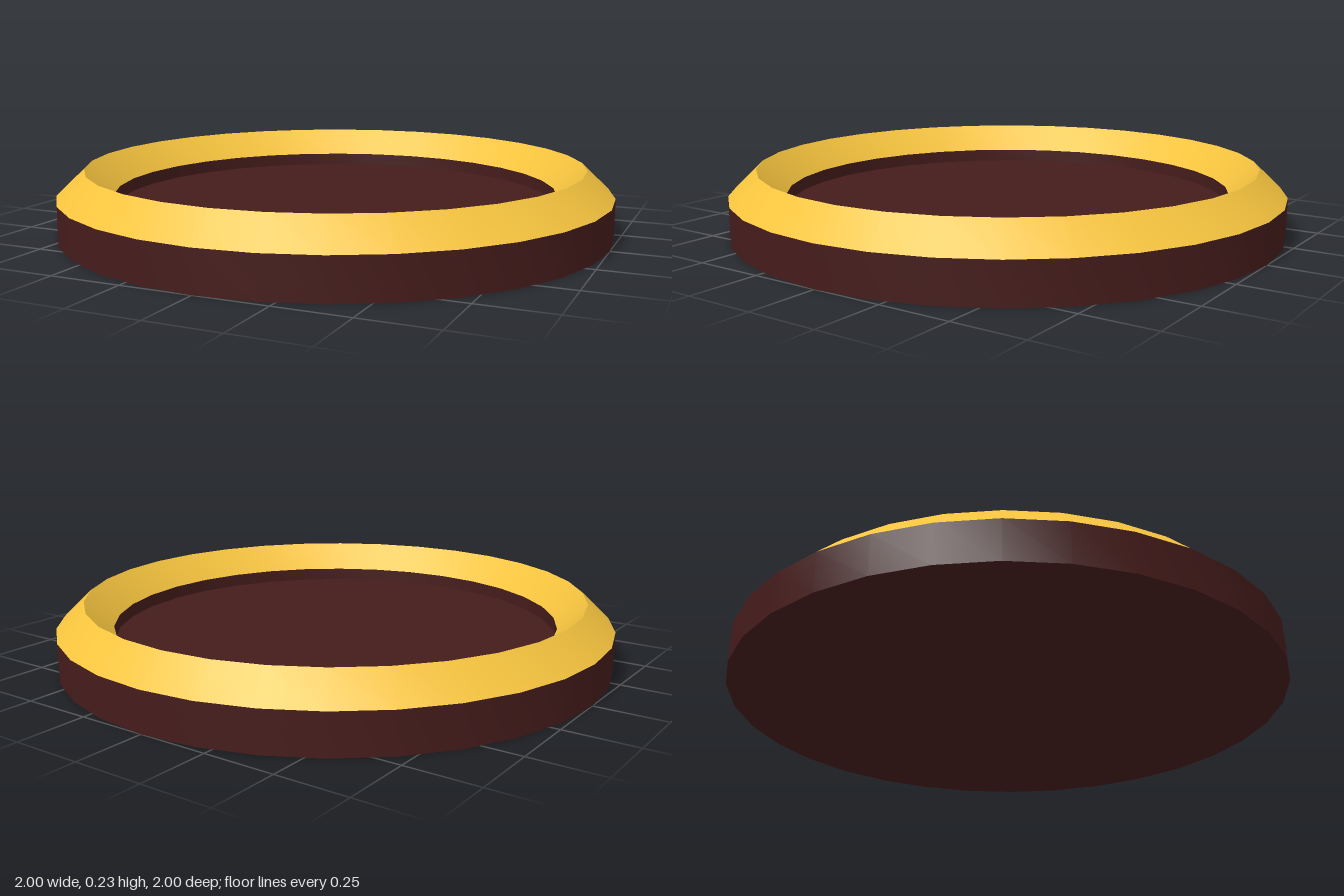
import * as THREE from 'three';
import { toCreasedNormals } from 'three/addons/utils/BufferGeometryUtils.js';

const SEGMENTS = 32;
const OUTER = 1, CREST = 0.9, INNER = 0.8;
const FLOOR_Y = 0.093, RIM_Y = 0.14, TOP_Y = 0.235;

// Revolve a profile of [radius, y] pairs, smooth around and sharp along its edges
function turned(name, profile, color) {
  const points = profile.map(([r, y]) => new THREE.Vector2(r, y));
  const geometry = toCreasedNormals(new THREE.LatheGeometry(points, SEGMENTS), 0.5);
  const mesh = new THREE.Mesh(geometry, new THREE.MeshStandardMaterial({ color }));
  mesh.name = name;
  return mesh;
}

export function createModel() {
  const group = new THREE.Group();
  group.name = 'roundTray';

  // Dark dish: underside, outer wall, hidden ledge, inner wall and floor
  group.add(turned('dish', [
    [0, 0], [OUTER, 0], [OUTER, RIM_Y], [INNER, RIM_Y], [INNER, FLOOR_Y], [0, FLOOR_Y],
  ], 0x451c1b));

  // Golden rim: two slopes meeting at a crest
  group.add(turned('rim', [
    [OUTER, RIM_Y], [CREST, TOP_Y], [INNER, RIM_Y],
  ], 0xf5c33e));

  return group;
}
